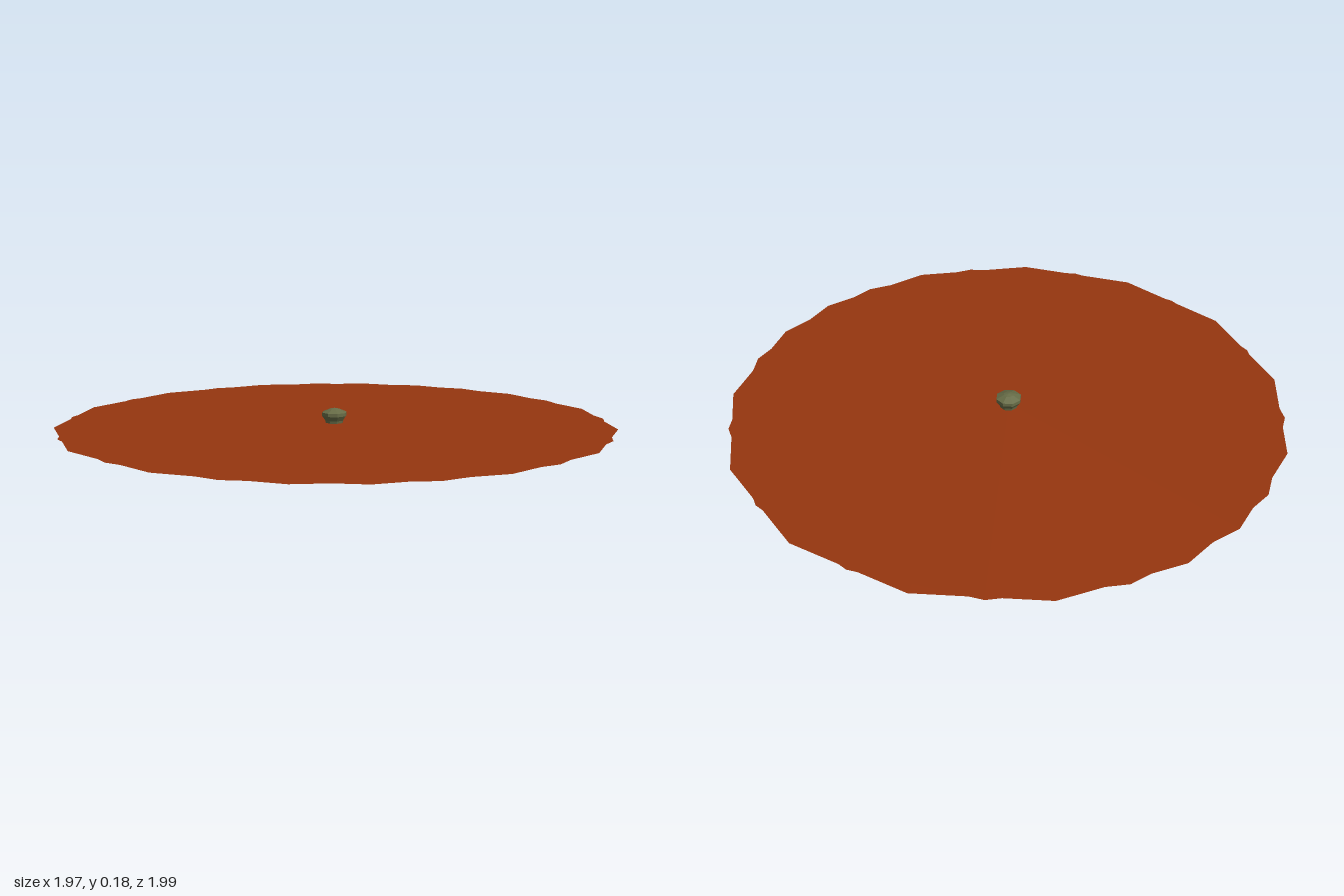
import * as THREE from 'three';

export function createModel() {
  const model = new THREE.Group();
  model.name = 'spinningRotor';

  const rust = new THREE.MeshStandardMaterial({ color: 0x96360f, side: THREE.DoubleSide, flatShading: true });
  rust.name = 'rust orange';
  const olive = new THREE.MeshStandardMaterial({ color: 0x666b46, flatShading: true });
  olive.name = 'olive green';

  // Two mirrored 14-sided sheets, laid almost on the same level
  const sides = 14;
  const start = Math.PI / 2 + Math.PI / (2 * sides);
  for (const s of [1, -1]) {
    const geometry = new THREE.CircleGeometry(0.993, sides, -s * start);
    geometry.rotateX(-Math.PI / 2);
    const disc = new THREE.Mesh(geometry, rust);
    disc.name = s > 0 ? 'upperDisc' : 'lowerDisc';
    disc.position.set(0, 0.125 + s * 0.001, s * 0.008);
    model.add(disc);
  }

  // Shaft and faceted cap, turned from one profile each
  const turned = (name, points) => {
    const profile = points.map(([r, y]) => new THREE.Vector2(r, y));
    const mesh = new THREE.Mesh(new THREE.LatheGeometry(profile, 8, Math.PI / 8), olive);
    mesh.name = name;
    mesh.position.x = -0.008;
    model.add(mesh);
  };
  turned('shaft', [[0, 0], [0.031, 0], [0.031, 0.13]]);
  turned('hubCap', [[0, 0.122], [0.031, 0.122], [0.034, 0.135], [0.046, 0.152], [0.046, 0.164], [0.018, 0.176], [0, 0.18]]);

  return model;
}
